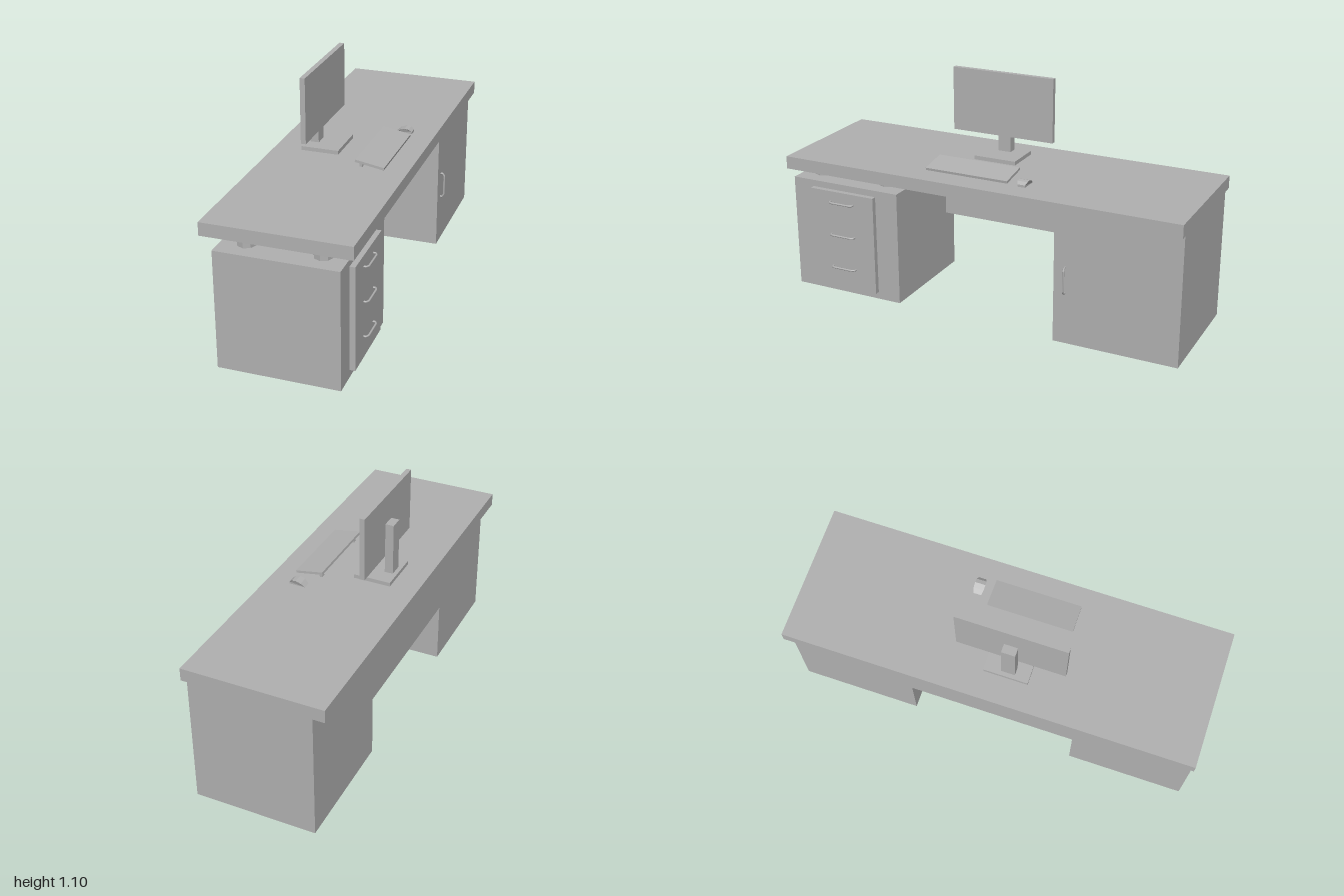
import * as THREE from 'three';

export function createModel() {
  const desk = new THREE.Group();
  desk.name = 'desk';
  const grey = new THREE.MeshStandardMaterial({ color: 0xb0b0b0 });
  grey.name = 'grey';

  const add = (name, geometry, parent = desk) => {
    const mesh = new THREE.Mesh(geometry, grey);
    mesh.name = name;
    parent.add(mesh);
    return mesh;
  };
  // Box given by its limits on each axis
  const box = (name, [x0, x1], [y0, y1], [z0, z1]) => {
    const mesh = add(name, new THREE.BoxGeometry(x1 - x0, y1 - y0, z1 - z0));
    mesh.position.set((x0 + x1) / 2, (y0 + y1) / 2, (z0 + z1) / 2);
    return mesh;
  };

  // Table body
  box('tableTop', [-0.338, 0.336], [0.625, 0.687], [-1, 1]);
  box('doorCabinet', [-0.282, 0.305], [0, 0.625], [-1, -0.402]);
  box('drawerCabinet', [-0.282, 0.28], [0, 0.565], [0.422, 1]);
  box('drawerFront', [0.28, 0.305], [0.036, 0.533], [0.54, 0.89]);
  box('modestyPanel', [-0.282, -0.2], [0.305, 0.625], [-0.402, 0.422]);

  // Octagonal spacers holding the top above the drawer cabinet
  for (const x of [-0.168, 0.171]) {
    for (const z of [0.53, 0.897]) {
      const spacer = add('spacer',
        new THREE.CylinderGeometry(0.043, 0.043, 0.06, 8).toNonIndexed());
      spacer.geometry.computeVertexNormals();
      spacer.position.set(x, 0.595, z);
    }
  }

  // Bent bar handles, upright by default
  const handlePath = new THREE.CatmullRomCurve3([
    [0, -0.064], [0.012, -0.064], [0.0195, -0.05],
    [0.0195, 0.05], [0.012, 0.064], [0, 0.064],
  ].map(([x, y]) => new THREE.Vector3(x, y, 0)), false, 'catmullrom', 0);
  const handleGeometry = new THREE.TubeGeometry(handlePath, 30, 0.005, 8);
  const handle = (name, y, z, level) => {
    const mesh = add(name, handleGeometry);
    mesh.position.set(0.304, y, z);
    if (level) mesh.rotation.x = Math.PI / 2;
  };
  for (const y of [0.48, 0.312, 0.142]) handle('drawerHandle', y, 0.715, true);
  handle('doorHandle', 0.312, -0.457, false);

  // Monitor
  box('monitorBase', [-0.207, -0.026], [0.687, 0.706], [-0.05, 0.164]);
  box('monitorStem', [-0.187, -0.146], [0.706, 0.961], [0.03, 0.096]);
  box('monitorScreen', [-0.146, -0.122], [0.79, 1.102], [-0.2, 0.324]);

  // Tilted keyboard on two rear feet
  const keyboard = box('keyboard', [0.096, 0.234], [0.707, 0.719], [-0.135, 0.285]);
  keyboard.rotation.z = -0.167;
  for (const z of [-0.1, 0.25]) {
    const foot = box('keyboardFoot', [0.111, 0.125], [0.688, 0.714], [z - 0.01, z + 0.01]);
    foot.rotation.z = -0.167;
  }

  // Faceted mouse, narrowed at both ends
  const profile = new THREE.Shape([
    [0.145, 0.687], [0.225, 0.687], [0.225, 0.698], [0.21, 0.71], [0.19, 0.713], [0.165, 0.704],
  ].map(([x, y]) => new THREE.Vector2(x, y)));
  const mouse = add('mouse', new THREE.ExtrudeGeometry(profile, { depth: 0.05, bevelEnabled: false }));
  const p = mouse.geometry.attributes.position;
  for (let i = 0; i < p.count; i++) {
    const narrow = p.getX(i) < 0.15 || p.getX(i) > 0.22 ? 0.75 : 1;
    p.setZ(i, -0.202 + (p.getZ(i) - 0.025) * narrow);
  }
  mouse.geometry.computeVertexNormals();

  return desk;
}
